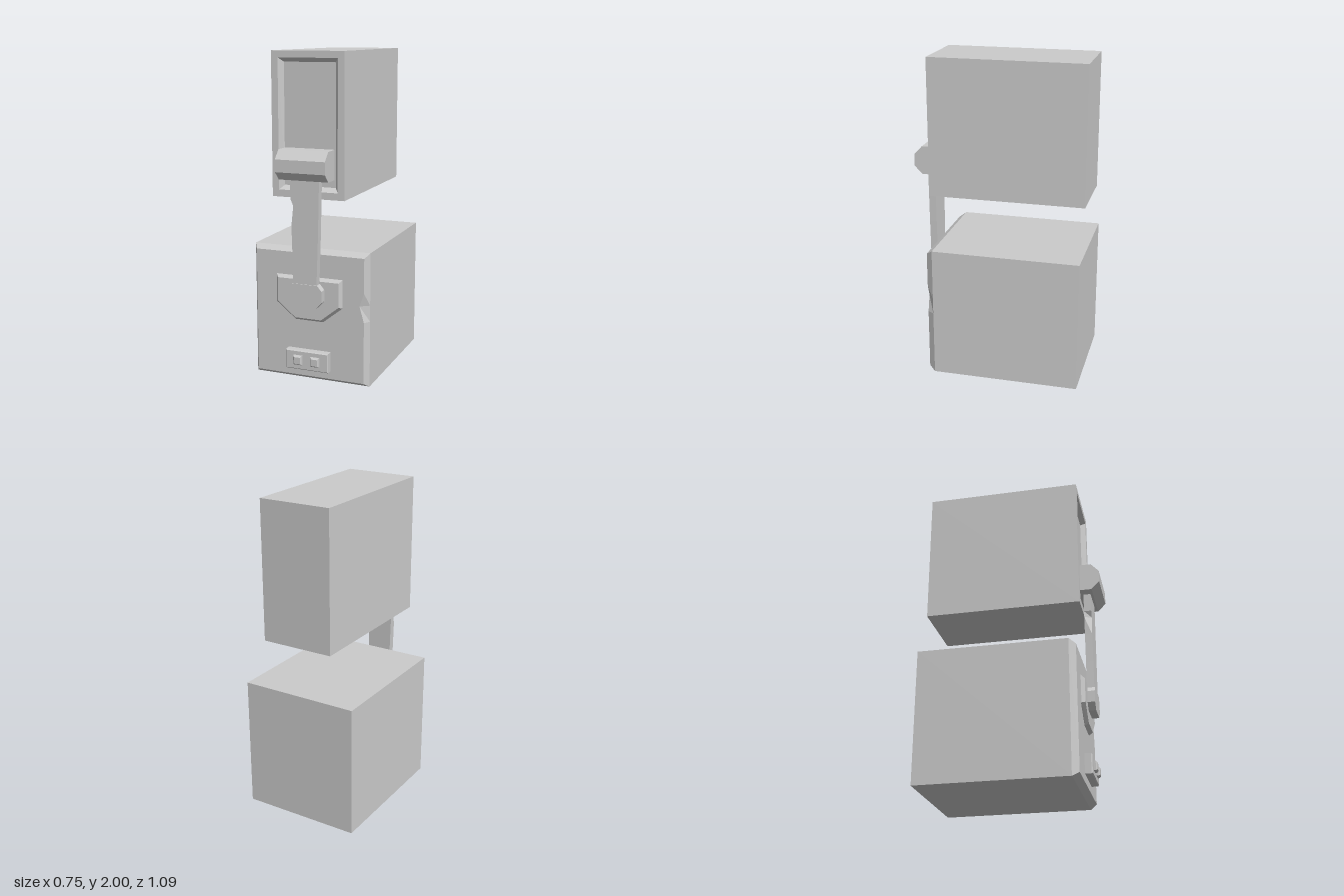
import * as THREE from 'three';

const material = new THREE.MeshStandardMaterial({ color: 0xcccccc, flatShading: true });

// Closed solid through rings ordered back to front; each ring is { z, pts } with
// counter-clockwise [x, y] points, equal in number.
function loft(rings) {
  const pos = [];
  const put = (ring, i) => pos.push(ring.pts[i][0], ring.pts[i][1], ring.z);
  const cap = (ring, flip) => {
    const outline = ring.pts.map(([x, y]) => new THREE.Vector2(x, y));
    for (const [a, b, c] of THREE.ShapeUtils.triangulateShape(outline, [])) {
      for (const i of flip ? [a, c, b] : [a, b, c]) put(ring, i);
    }
  };
  const n = rings[0].pts.length;
  for (let k = 0; k + 1 < rings.length; k++) {
    const a = rings[k], b = rings[k + 1];
    for (let i = 0; i < n; i++) {
      const j = (i + 1) % n;
      put(a, i); put(a, j); put(b, j);
      put(a, i); put(b, j); put(b, i);
    }
  }
  cap(rings[0], true);
  cap(rings[rings.length - 1], false);
  const geometry = new THREE.BufferGeometry();
  geometry.setAttribute('position', new THREE.Float32BufferAttribute(pos, 3));
  geometry.computeVertexNormals();
  return geometry;
}

const rect = (x0, x1, y0, y1) => [[x0, y0], [x1, y0], [x1, y1], [x0, y1]];

// Rectangle whose +x edge carries three extra points for the chipped edge
const chippedRect = (h, y0, y1, chipX) =>
  [[-h, y0], [h, y0], [h, 0.41], [chipX, 0.51], [h, 0.59], [h, y1], [-h, y1]];

export function createModel() {
  const group = new THREE.Group();
  const add = (name, geometry) => {
    const mesh = new THREE.Mesh(geometry, material);
    mesh.name = name;
    group.add(mesh);
    return mesh;
  };

  // Lower block with bevelled, chipped front
  add('lowerBlock', loft([
    { z: -0.545, pts: chippedRect(0.375, 0, 0.83, 0.375) },
    { z: 0.375, pts: chippedRect(0.375, 0, 0.83, 0.375) },
    { z: 0.415, pts: chippedRect(0.35, 0.027, 0.803, 0.322) },
  ]));

  // Upper block with a recessed front panel
  add('upperBlock', loft([
    { z: -0.545, pts: rect(-0.23, 0.23, 1.14, 2) },
    { z: 0.428, pts: rect(-0.23, 0.23, 1.14, 2) },
    { z: 0.428, pts: rect(-0.188, 0.188, 1.183, 1.96) },
    { z: 0.395, pts: rect(-0.163, 0.163, 1.208, 1.935) },
  ]));

  // Clasp bar: faceted profile run across the recess
  const bar = [[-0.395, 1.255], [-0.395, 1.433], [-0.495, 1.433], [-0.545, 1.38],
    [-0.545, 1.305], [-0.495, 1.255]];
  add('claspBar', loft([{ z: -0.158, pts: bar }, { z: 0.156, pts: bar }]).rotateY(Math.PI / 2));

  // Strap, nicked on its front left edge
  const strap = nick => [[-0.078, 0.61], [0.073, 0.61], [0.084, 0.92], [0.092, 1.26],
    [-0.095, 1.26], [-0.091, 1.14], [nick, 1.1], [-0.086, 0.98], [-0.081, 0.8]];
  add('strap', loft([{ z: 0.435, pts: strap(-0.09) }, { z: 0.48, pts: strap(-0.073) }]));

  // Strap end
  const tip = [[-0.11, 0.525], [-0.07, 0.485], [0.07, 0.485], [0.107, 0.525],
    [0.107, 0.595], [0.08, 0.628], [-0.083, 0.628], [-0.11, 0.595]];
  add('strapEnd', loft([{ z: 0.43, pts: tip }, { z: 0.485, pts: tip }]));

  // Shield-shaped catch plate with bevelled rim
  const shield = (h, top, side, foot, bottom) =>
    [[-h, side], [-foot, bottom], [foot, bottom], [h, side], [h, top], [-h, top]];
  add('catchPlate', loft([
    { z: 0.41, pts: shield(0.215, 0.66, 0.485, 0.09, 0.385) },
    { z: 0.418, pts: shield(0.215, 0.66, 0.485, 0.09, 0.385) },
    { z: 0.44, pts: shield(0.198, 0.643, 0.494, 0.084, 0.402) },
  ]));

  // Small control panel
  add('controlPanel', loft([
    { z: 0.41, pts: rect(-0.14, 0.137, 0.078, 0.2) },
    { z: 0.453, pts: rect(-0.14, 0.137, 0.078, 0.2) },
    { z: 0.46, pts: rect(-0.134, 0.131, 0.084, 0.194) },
  ]));

  // Two buttons
  for (const x of [-0.058, 0.054]) {
    add('button', loft([
      { z: 0.455, pts: rect(x - 0.028, x + 0.028, 0.112, 0.17) },
      { z: 0.472, pts: rect(x - 0.028, x + 0.028, 0.112, 0.17) },
      { z: 0.481, pts: rect(x - 0.02, x + 0.02, 0.12, 0.162) },
    ]));
  }

  return group;
}
